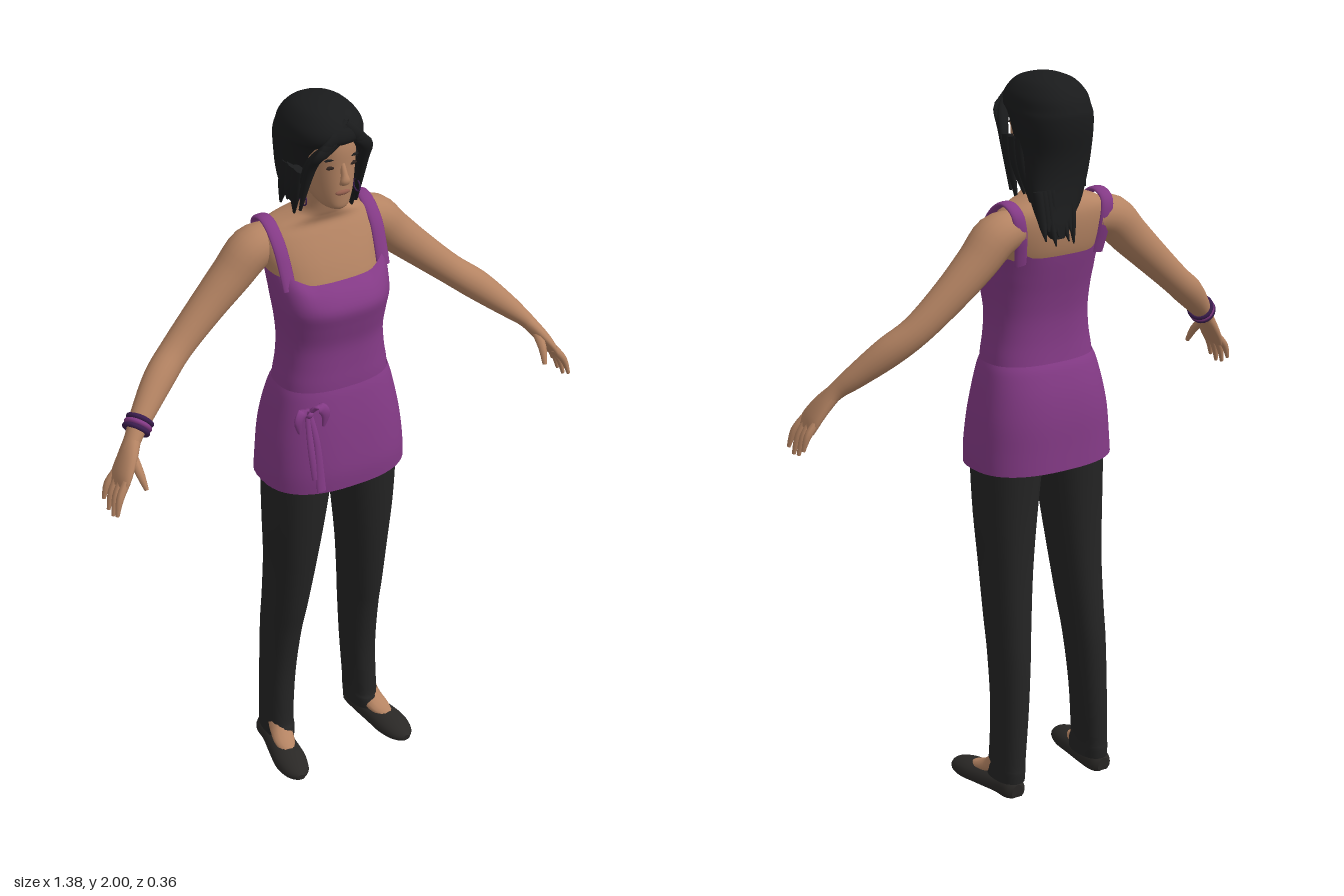
import * as THREE from 'three';

const mat = (name, color, side = THREE.FrontSide) => {
  const m = new THREE.MeshStandardMaterial({ color, side });
  m.name = name;
  return m;
};

// Smooth interpolation through rows of numbers, column by column
function resample(rows, steps) {
  const out = [], last = rows.length - 1;
  for (let i = 0; i < last; i++) {
    const [p, q, r, s] = [rows[Math.max(i - 1, 0)], rows[i], rows[i + 1], rows[Math.min(i + 2, last)]];
    for (let k = 0; k < steps; k++) {
      const t = k / steps;
      out.push(q.map((b, c) => b + 0.5 * t * (r[c] - p[c] +
        t * (2 * p[c] - 5 * b + 4 * r[c] - s[c] + t * (3 * (b - r[c]) + s[c] - p[c])))));
    }
  }
  out.push(rows[last]);
  return out;
}

// Skin a list of closed rings, each a list of Vector3
function skinRings(rings, capped) {
  const n = rings[0].length, all = [...rings];
  if (capped) {
    const centre = (ring) => {
      const c = ring.reduce((s, p) => s.add(p), new THREE.Vector3()).divideScalar(n);
      return ring.map(() => c);
    };
    const first = rings[0], end = rings[rings.length - 1];
    all.unshift(centre(first), first);
    all.push(end, centre(end));
  }
  const pos = [], idx = [];
  all.forEach((ring) => ring.forEach((p) => pos.push(p.x, p.y, p.z)));
  for (let i = 0; i < all.length - 1; i++) {
    if (capped && (i === 1 || i === all.length - 3)) continue;
    for (let j = 0; j < n; j++) {
      const a = i * n + j, b = i * n + (j + 1) % n;
      idx.push(a, b, a + n, b, b + n, a + n);
    }
  }
  const g = new THREE.BufferGeometry();
  g.setAttribute('position', new THREE.Float32BufferAttribute(pos, 3));
  g.setIndex(idx);
  g.computeVertexNormals();
  return g;
}

const bend = (v, e) => Math.sign(v) * Math.abs(v) ** e;

// Upright form from rows of [y, x centre, x radius, z front, z back]
function loft(rows, { e = 0.8, n = 32, capped = true, steps = 4 } = {}) {
  return skinRings(resample(rows, steps).map(([y, xc, rx, zf, zb]) =>
    Array.from({ length: n }, (_, j) => {
      const a = (j / n) * Math.PI * 2;
      return new THREE.Vector3(xc + rx * bend(Math.cos(a), e), y,
        (zf + zb) / 2 - ((zf - zb) / 2) * bend(Math.sin(a), e));
    })), capped);
}

const X = new THREE.Vector3(1, 0, 0), Z = new THREE.Vector3(0, 0, 1);

// Form along a path from rows of [x, y, z, half width along ref, half thickness]
function sweep(rows, ref = X, n = 12, steps = 4) {
  const pts = resample(rows, steps), at = (i) => new THREE.Vector3(...pts[i].slice(0, 3));
  return skinRings(pts.map((p, i) => {
    const T = at(Math.min(i + 1, pts.length - 1)).sub(at(Math.max(i - 1, 0))).normalize();
    const N = ref.clone().addScaledVector(T, -ref.dot(T)).normalize();
    const B = T.clone().cross(N);
    return Array.from({ length: n }, (_, j) => {
      const a = (j / n) * Math.PI * 2;
      return at(i).addScaledVector(N, p[3] * Math.cos(a)).addScaledVector(B, p[4] * Math.sin(a));
    });
  }), true);
}

const mirror = (rows, s) => rows.map(([x, ...rest]) => [x * s, ...rest]);

export function createModel() {
  const root = new THREE.Group();
  const skin = mat('skin', 0xb58463), purple = mat('purple cloth', 0x843a86, THREE.DoubleSide);
  const black = mat('trouser black', 0x242424), hair = mat('hair black', 0x1a1b1c);
  const shoe = mat('shoe black', 0x2a2826), lip = mat('lip', 0x96604f);
  const violet = mat('dark violet', 0x3b1d4f), dark = mat('eye dark', 0x30241f);
  const add = (name, geometry, material) => {
    const m = new THREE.Mesh(geometry, material);
    m.name = name;
    root.add(m);
    return m;
  };
  const blob = (name, material, p, s) => {
    const m = add(name, new THREE.SphereGeometry(1, 16, 10), material);
    m.position.set(...p);
    m.scale.set(...s);
  };

  // Chest, shoulders and neck
  add('chestAndNeck', loft([
    [1.40, 0, 0.13, 0.11, -0.055], [1.50, 0, 0.148, 0.1, -0.083], [1.55, 0, 0.156, 0.085, -0.1],
    [1.60, 0, 0.165, 0.062, -0.108], [1.64, 0, 0.162, 0.04, -0.108], [1.665, 0, 0.14, 0.026, -0.1],
    [1.685, 0, 0.09, 0.03, -0.085], [1.70, 0, 0.062, 0.036, -0.07], [1.73, 0, 0.05, 0.045, -0.058],
    [1.79, 0, 0.048, 0.06, -0.05]]), skin);

  // Head and face
  add('head', loft([
    [1.73, 0, 0.018, 0.09, 0.03], [1.74, 0, 0.036, 0.099, 0], [1.765, 0, 0.051, 0.102, -0.04],
    [1.80, 0, 0.062, 0.104, -0.08], [1.85, 0, 0.069, 0.105, -0.1], [1.90, 0, 0.07, 0.106, -0.1],
    [1.94, 0, 0.066, 0.095, -0.09], [1.97, 0, 0.045, 0.06, -0.06]], { e: 0.9 }), skin);
  add('nose', sweep([[0, 1.865, 0.099, 0.006, 0.006], [0, 1.835, 0.11, 0.009, 0.009],
    [0, 1.818, 0.114, 0.014, 0.01], [0, 1.808, 0.104, 0.011, 0.005]]), skin);
  blob('lips', lip, [0, 1.783, 0.1025], [0.021, 0.007, 0.006]);
  for (const s of [-1, 1]) {
    blob('eye', dark, [s * 0.03, 1.855, 0.096], [0.014, 0.005, 0.005]);
    blob('eyebrow', hair, [s * 0.032, 1.877, 0.096], [0.018, 0.003, 0.005]);
    const hoop = add('earring', new THREE.TorusGeometry(0.016, 0.002, 6, 20), violet);
    hoop.position.set(s * 0.078, 1.755, 0.04);
    hoop.rotation.y = Math.PI / 2;
  }

  // Hair: main mass, swept fringe, side locks and ragged ends
  add('hair', loft([
    [1.60, 0.055, 0.02, -0.13, -0.16], [1.635, 0.05, 0.045, -0.1, -0.155], [1.68, 0.03, 0.07, -0.065, -0.142],
    [1.74, 0.01, 0.086, -0.01, -0.133], [1.80, 0, 0.095, 0.035, -0.135], [1.86, 0, 0.101, 0.06, -0.145],
    [1.90, 0, 0.103, 0.083, -0.147], [1.92, 0, 0.101, 0.11, -0.143], [1.95, 0, 0.094, 0.106, -0.13],
    [1.98, 0, 0.07, 0.078, -0.1], [1.994, 0, 0.04, 0.04, -0.06], [2.0, 0, 0.008, 0, -0.015]], { e: 0.9 }), hair);
  for (let i = 0; i < 3; i++) {
    const d = i * 0.012;
    add('fringeLock', sweep([[0.02, 1.965 - d, 0.088, 0.012, 0.008], [-0.035 - d, 1.925 - d, 0.103, 0.017, 0.008],
      [-0.075, 1.875 - d, 0.074, 0.014, 0.009], [-0.088, 1.80 - d * 3, 0.042, 0.004, 0.004]]), hair);
    add('fringeLock', sweep([[0.015, 1.965 - d, 0.09, 0.012, 0.008], [0.045 + d, 1.925 - d, 0.098, 0.017, 0.008],
      [0.078, 1.865 - d, 0.07, 0.015, 0.01], [0.092, 1.77 - d * 3, 0.035 - d, 0.005, 0.005]]), hair);
  }
  for (const [s, y] of [[-1, 1.70], [1, 1.67]]) for (let i = 0; i < 3; i++) {
    add('sideLock', sweep([[s * 0.088, 1.84, 0.035 - i * 0.03, 0.012, 0.02],
      [s * 0.09, 1.77, 0.02 - i * 0.03, 0.012, 0.018],
      [s * 0.082, y + (i % 2) * 0.025, -i * 0.035, 0.003, 0.004]]), hair);
  }
  for (let i = 0; i < 8; i++) {
    const x = 0.05 + (i - 3.5) * 0.013, y = 1.58 + ((i * 5) % 8) * 0.007;
    add('hairEnd', sweep([[x, 1.72, -0.118, 0.014, 0.014], [x, 1.65, -0.135, 0.012, 0.013],
      [x + 0.006, y, -0.155 - (i % 3) * 0.008, 0.002, 0.002]], X, 8), hair);
  }

  // Sleeveless top: bodice, flared lower half and straps
  const bodice = loft([
    [1.20, 0, 0.16, 0.142, -0.075], [1.25, 0, 0.155, 0.141, -0.068], [1.30, 0, 0.147, 0.138, -0.064],
    [1.36, 0, 0.143, 0.138, -0.065], [1.42, 0, 0.148, 0.151, -0.074], [1.47, 0, 0.155, 0.16, -0.085],
    [1.51, 0, 0.159, 0.138, -0.094], [1.535, 0, 0.16, 0.108, -0.099]], { n: 48, capped: false });
  const p = bodice.attributes.position;
  for (let i = 0; i < p.count; i++) {
    const lift = Math.max(0, (p.getY(i) - 1.47) / 0.065);
    const side = THREE.MathUtils.smoothstep(Math.abs(p.getX(i)), 0.08, 0.14);
    p.setY(i, p.getY(i) + lift * side * 0.022);
  }
  bodice.computeVertexNormals();
  add('bodice', bodice, purple);
  add('tunicSkirt', loft([
    [0.945, 0, 0.205, 0.178, -0.115], [1.0, 0, 0.202, 0.18, -0.113], [1.08, 0, 0.194, 0.172, -0.11],
    [1.15, 0, 0.181, 0.162, -0.1], [1.21, 0, 0.167, 0.15, -0.083], [1.235, 0, 0.158, 0.143, -0.071]],
  { n: 48, capped: false }), purple);
  const strap = [[0.138, 1.525, 0.076], [0.14, 1.58, 0.055], [0.142, 1.63, 0.03], [0.142, 1.668, -0.01],
    [0.142, 1.68, -0.05], [0.14, 1.66, -0.088], [0.132, 1.61, -0.094], [0.124, 1.55, -0.08], [0.12, 1.52, -0.072]]
    .map((q) => [...q, 0.019, 0.007]);
  for (const s of [-1, 1]) add('strap', sweep(mirror(strap, s)), purple);

  // Tied bow with two loops and two tails
  blob('bowKnot', purple, [-0.125, 1.19, 0.145], [0.013, 0.013, 0.014]);
  for (const s of [-1, 1]) {
    add('bowLoop', sweep([[-0.125, 1.19, 0.145, 0.006, 0.006], [-0.125 + s * 0.022, 1.212, 0.16, 0.014, 0.006],
      [-0.125 + s * 0.04, 1.19, 0.165, 0.014, 0.006], [-0.125 + s * 0.036, 1.15, 0.16, 0.004, 0.004]]), purple);
  }
  add('bowTail', sweep([[-0.122, 1.19, 0.145, 0.008, 0.005], [-0.11, 1.1, 0.164, 0.01, 0.005],
    [-0.105, 0.96, 0.178, 0.014, 0.005]]), purple);
  add('bowTail', sweep([[-0.128, 1.19, 0.145, 0.008, 0.005], [-0.128, 1.1, 0.162, 0.01, 0.005],
    [-0.118, 1.0, 0.172, 0.012, 0.005]]), purple);

  // Trousers
  add('trouserSeat', loft([[0.96, 0, 0.175, 0.125, -0.075], [1.04, 0, 0.17, 0.13, -0.08],
    [1.15, 0, 0.15, 0.12, -0.07]]), black);

  for (const s of [-1, 1]) {
    add('trouserLeg', loft([
      [0.04, 0.14, 0.041, 0.05, -0.09], [0.07, 0.139, 0.041, 0.048, -0.092], [0.10, 0.138, 0.041, 0.038, -0.09],
      [0.25, 0.131, 0.045, 0.036, -0.092], [0.40, 0.125, 0.05, 0.056, -0.09], [0.50, 0.12, 0.055, 0.078, -0.082],
      [0.65, 0.113, 0.065, 0.104, -0.072], [0.80, 0.107, 0.079, 0.124, -0.07], [0.95, 0.099, 0.09, 0.138, -0.075],
      [1.03, 0.093, 0.092, 0.138, -0.08]].map(([y, x, ...r]) => [y, x * s, ...r]), { e: 0.9, n: 24 }), black);

    // Flat shoe with bare instep
    const sole = sweep(mirror([[0.145, 0.014, -0.088, 0.018, 0.025], [0.145, 0.015, -0.07, 0.034, 0.037],
      [0.147, 0.015, -0.02, 0.037, 0.035], [0.158, 0.015, 0.05, 0.043, 0.034], [0.167, 0.013, 0.11, 0.046, 0.032],
      [0.172, 0.01, 0.16, 0.034, 0.022], [0.174, 0.008, 0.182, 0.012, 0.01]], s), X, 20);
    const q = sole.attributes.position;
    for (let i = 0; i < q.count; i++) q.setY(i, Math.max(0, q.getY(i)));
    sole.computeVertexNormals();
    add('shoe', sole, shoe);
    add('foot', sweep(mirror([[0.142, 0.12, -0.03, 0.03, 0.035], [0.148, 0.065, 0.015, 0.032, 0.028],
      [0.158, 0.045, 0.06, 0.03, 0.016], [0.164, 0.038, 0.095, 0.018, 0.01]], s)), skin);

    // Arm, palm, fingers and thumb
    add('arm', sweep(mirror([[0.12, 1.612, -0.05, 0.05, 0.05], [0.18, 1.6, -0.05, 0.06, 0.058],
      [0.24, 1.54, -0.05, 0.054, 0.054], [0.32, 1.465, -0.045, 0.046, 0.047], [0.41, 1.385, -0.03, 0.04, 0.041],
      [0.48, 1.33, 0, 0.039, 0.041], [0.55, 1.268, 0.042, 0.031, 0.031], [0.59, 1.23, 0.07, 0.025, 0.022],
      [0.615, 1.2, 0.085, 0.028, 0.019]], s), Z, 20), skin);
    add('palm', sweep(mirror([[0.595, 1.225, 0.073, 0.024, 0.02], [0.62, 1.192, 0.092, 0.036, 0.019],
      [0.645, 1.155, 0.107, 0.043, 0.016], [0.658, 1.13, 0.114, 0.042, 0.011]], s), Z, 16), skin);
    for (let i = 0; i < 4; i++) {
      const drop = [0.012, 0, 0.004, 0.022][i];
      add('finger', sweep(mirror([[0.648, 1.15, 0.139 - i * 0.02, 0.011, 0.011],
        [0.674, 1.108 + drop * 0.5, 0.151 - i * 0.024, 0.010, 0.010],
        [0.687, 1.058 + drop, 0.159 - i * 0.026, 0.005, 0.005]], s), Z, 8), skin);
    }
    add('thumb', sweep(mirror([[0.612, 1.205, 0.095, 0.014, 0.013], [0.61, 1.165, 0.138, 0.012, 0.011],
      [0.604, 1.125, 0.162, 0.006, 0.006]], s), X, 8), skin);
  }

  // Stacked bracelets on the right wrist
  const along = new THREE.Vector3(-0.66, -0.59, 0.46).normalize();
  for (let i = 0; i < 3; i++) {
    const ring = add('bracelet', new THREE.TorusGeometry(0.031, 0.007, 8, 24), i === 1 ? purple : violet);
    ring.position.set(-0.57, 1.25, 0.056).addScaledVector(along, (i - 1) * 0.013);
    ring.quaternion.setFromUnitVectors(Z, along);
  }
  return root;
}
